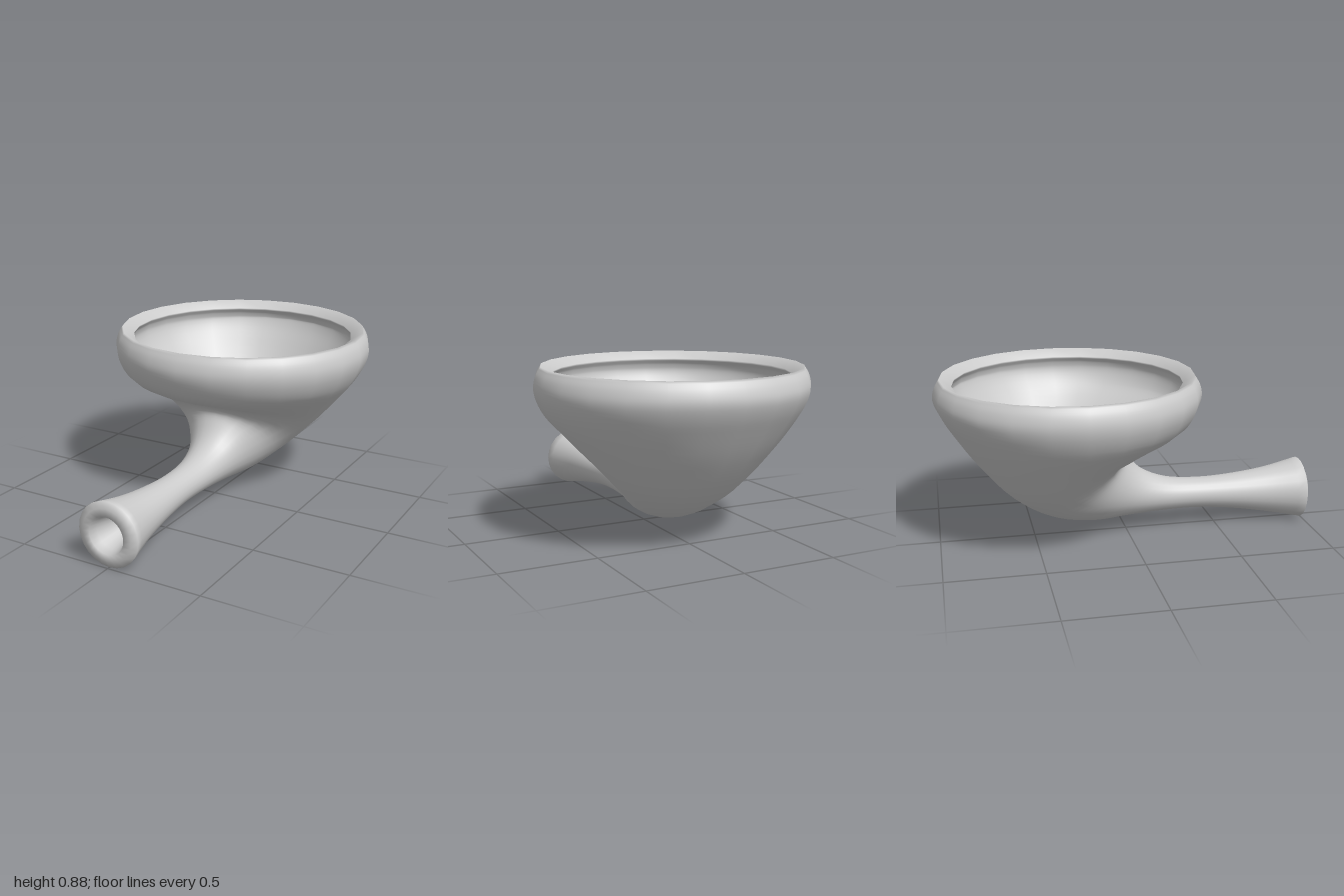
import * as THREE from 'three';

const SIDES = 24, STEPS = 4, WALL = 0.073;

// Ring sections are [upper z, upper y, lower z, lower y, half width]
const stem = (z, y, r) => [z, y + r, z, y - r, r];
const level = (y, r) => [-0.305 + r, y, -0.305 - r, y, r];

// Ellipse of points through an upper and a lower point (x holds the half width)
function ring(a, b) {
  const points = [];
  for (let j = 0; j < SIDES; j++) {
    const t = j / SIDES * Math.PI * 2, c = Math.cos(t) / 2;
    points.push(new THREE.Vector3(
      Math.sin(t) * (a.x + b.x) / 2,
      (a.y + b.y) / 2 + c * (a.y - b.y),
      (a.z + b.z) / 2 + c * (a.z - b.z)));
  }
  return points;
}

const upperPoint = s => new THREE.Vector3(s[4], s[1], s[0]);
const lowerPoint = s => new THREE.Vector3(s[4], s[3], s[2]);

// Smooth skin over a list of rings; closed joins the last ring to the first
function skin(rings, closed) {
  const index = [], n = rings.length;
  for (let i = 0; i < (closed ? n : n - 1); i++) {
    const p = i * SIDES, q = ((i + 1) % n) * SIDES;
    for (let j = 0; j < SIDES; j++) {
      const k = (j + 1) % SIDES;
      index.push(p + j, p + k, q + j, p + k, q + k, q + j);
    }
  }
  const geo = new THREE.BufferGeometry().setFromPoints(rings.flat());
  geo.setIndex(index);
  geo.computeVertexNormals();
  return geo;
}

export function createModel() {
  // Outside, from the mouth along the stem and up to the bowl rim
  const sections = [
    stem(0.985, 0.168, 0.167),
    [0.8, 0.295, 0.8, 0.04, 0.125],
    [0.6, 0.27, 0.6, 0.075, 0.1],
    [0.4, 0.262, 0.4, 0.095, 0.088],
    [0.22, 0.28, 0.2, 0.095, 0.1],
    [0.09, 0.335, 0, 0.085, 0.135],
    [0.01, 0.42, -0.2, 0.077, 0.203],
    [-0.005, 0.468, -0.42, 0.122, 0.283],
    [0.05, 0.519, -0.62, 0.248, 0.4],
    [0.2, 0.57, -0.8, 0.45, 0.53],
    [0.32, 0.637, -0.915, 0.615, 0.632],
    [0.372, 0.717, -0.977, 0.718, 0.68],
    level(0.78, 0.692),
    level(0.835, 0.681),
    level(0.88, 0.655),
  ];
  const upper = new THREE.CatmullRomCurve3(sections.map(upperPoint));
  const lower = new THREE.CatmullRomCurve3(sections.map(lowerPoint));
  const count = (sections.length - 1) * STEPS;
  const outer = [];
  for (let i = 0; i <= count; i++) outer.push(ring(upper.getPoint(i / count), lower.getPoint(i / count)));

  // Hollow inside: the outside moved inward by the wall thickness
  const normals = skin(outer, false).getAttribute('normal');
  const inner = outer.map((points, i) => points.map((p, j) =>
    new THREE.Vector3().fromBufferAttribute(normals, i * SIDES + j).multiplyScalar(-WALL).add(p)));

  // Rounded lip of the mouth closes the loop
  const lip = stem(1, 0.168, 0.135);
  const rings = [...outer, ...inner.reverse(), ring(upperPoint(lip), lowerPoint(lip))];

  const pipe = new THREE.Mesh(skin(rings, true),
    new THREE.MeshStandardMaterial({ color: 0xcccccc, side: THREE.DoubleSide }));
  pipe.name = 'bowlAndStem';
  const group = new THREE.Group();
  group.name = 'pipe';
  group.add(pipe);
  return group;
}
